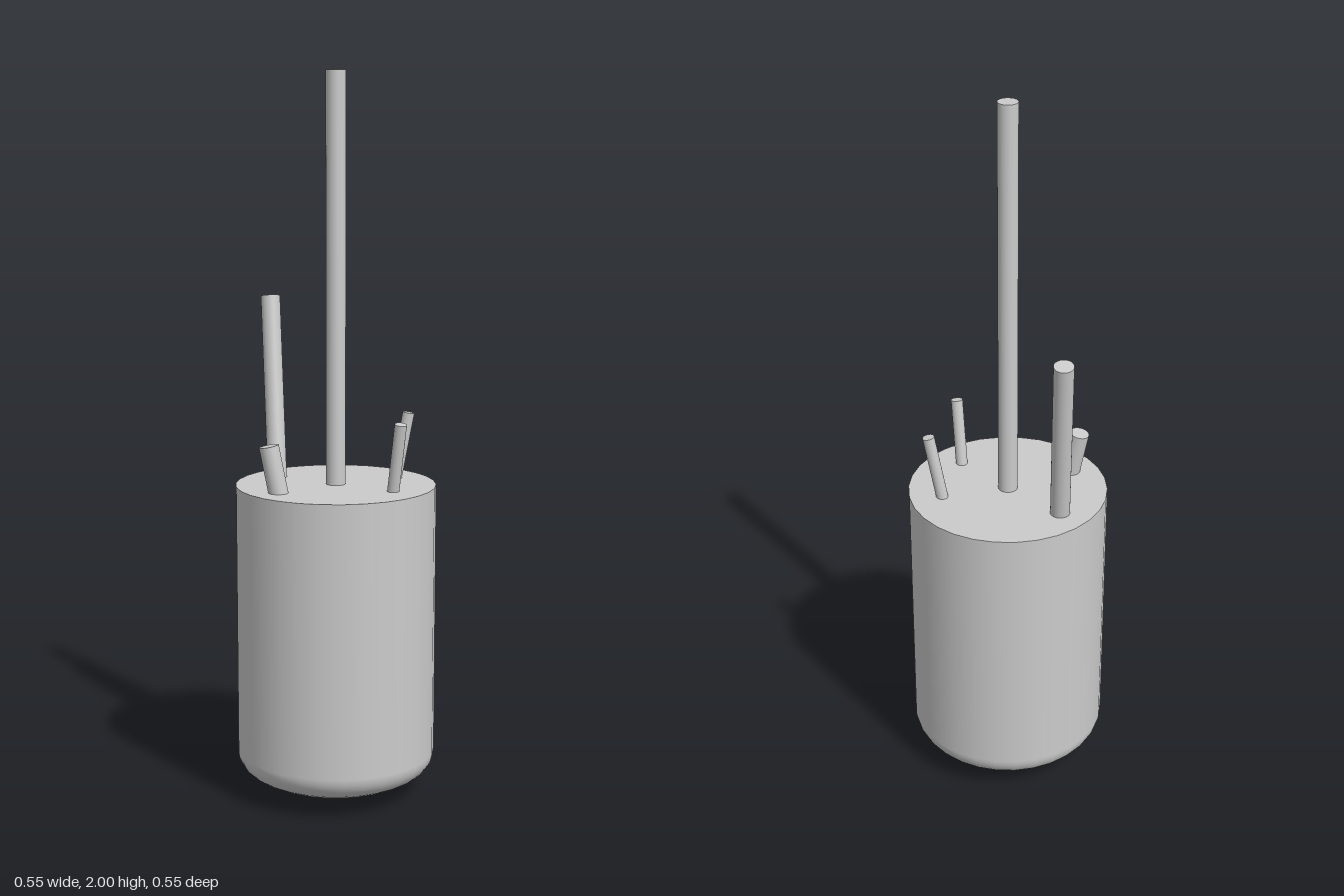
import * as THREE from 'three';

const SIDES = 30;
const RADIUS = 0.277;
const TOP = 0.88;

export function createModel() {
  const group = new THREE.Group();
  const material = new THREE.MeshStandardMaterial({ color: 0xcccccc });

  function add(name, geometry) {
    const mesh = new THREE.Mesh(geometry, material);
    mesh.name = name;
    group.add(mesh);
    return mesh;
  }

  // Vessel wall: shallow dished bottom, rounded knuckle, straight side
  const dish = 0.5, knuckle = 0.07;
  const kx = RADIUS - knuckle;
  const ky = dish - Math.sqrt((dish - knuckle) ** 2 - kx ** 2);
  const tangent = Math.asin(kx / (dish - knuckle));
  const profile = [];
  for (let i = 0; i <= 10; i++) {
    const a = tangent * i / 10;
    profile.push(new THREE.Vector2(dish * Math.sin(a), dish - dish * Math.cos(a)));
  }
  for (let i = 1; i <= 8; i++) {
    const a = tangent + (Math.PI / 2 - tangent) * i / 8;
    profile.push(new THREE.Vector2(kx + knuckle * Math.sin(a), ky - knuckle * Math.cos(a)));
  }
  profile.push(new THREE.Vector2(RADIUS, TOP));
  add('vesselBody', new THREE.LatheGeometry(profile, SIDES));

  // Flat lid
  const lid = new THREE.CircleGeometry(RADIUS, SIDES, Math.PI / 2);
  lid.rotateX(-Math.PI / 2);
  add('vesselLid', lid).position.y = TOP;

  // Rods standing in the lid: end point, point where they meet the lid, radius
  function addRod(name, top, foot, radius) {
    const end = new THREE.Vector3(...top);
    const start = new THREE.Vector3(...foot);
    const axis = end.clone().sub(start).normalize();
    start.addScaledVector(axis, -0.03);
    const rod = add(name, new THREE.CylinderGeometry(radius, radius, start.distanceTo(end), SIDES));
    rod.position.copy(start).add(end).multiplyScalar(0.5);
    rod.quaternion.setFromUnitVectors(new THREE.Vector3(0, 1, 0), axis);
  }
  addRod('centralShaft', [0, 2, 0], [0, TOP, 0], 0.027);
  addRod('longTiltedPipe', [-0.209, 1.382, -0.167], [-0.177, TOP, -0.076], 0.027);
  addRod('shortTiltedPipe', [-0.162, 1.007, 0.143], [-0.137, TOP, 0.143], 0.027);
  addRod('backThinPipe', [0.19, 1.066, -0.111], [0.156, TOP, -0.104], 0.0165);
  addRod('frontThinPipe', [0.19, 1.068, 0.108], [0.168, TOP, 0.082], 0.0165);

  return group;
}
